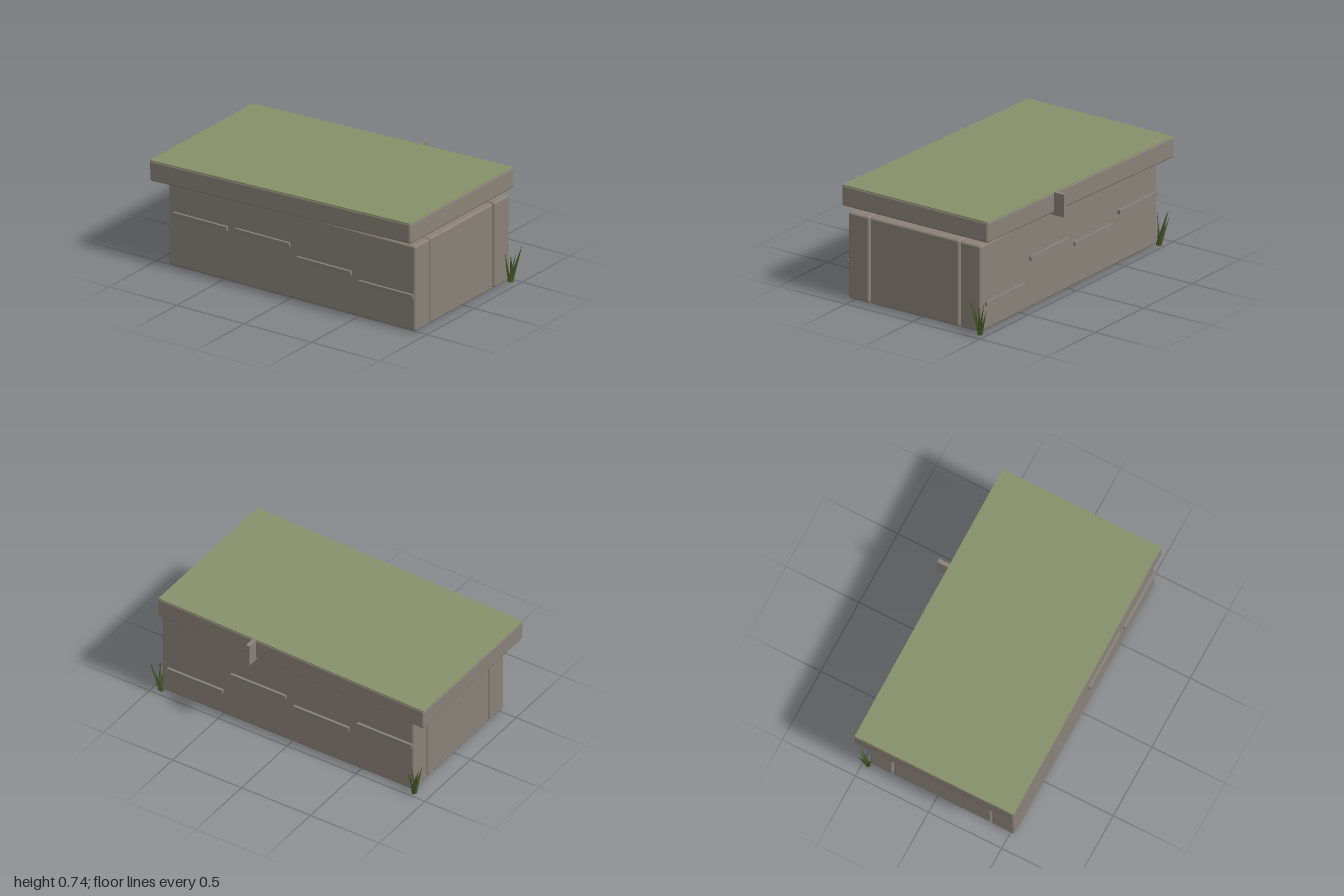
import * as THREE from 'three';
import { RoundedBoxGeometry } from 'three/addons/geometries/RoundedBoxGeometry.js';

const stone = new THREE.MeshStandardMaterial({ name: 'stone', color: 0x8a8278 });
const seamStone = new THREE.MeshStandardMaterial({ name: 'seam stone', color: 0x87827a });
const moss = new THREE.MeshStandardMaterial({ name: 'moss', color: 0x87916a });
const grass = new THREE.MeshStandardMaterial({ name: 'grass', color: 0x445628, flatShading: true });

function add(parent, name, geometry, material, x, y, z) {
  const mesh = new THREE.Mesh(geometry, material);
  mesh.name = name;
  mesh.position.set(x, y, z);
  parent.add(mesh);
  return mesh;
}

const slab = (w, h, d) => new RoundedBoxGeometry(w, h, d, 3, 0.014);
const box = (w, h, d) => new THREE.BoxGeometry(w, h, d);

// Fan of thin blades; each entry is the tip offset [x, y, z] from the root
function tuft(name, x, z, tips) {
  const group = new THREE.Group();
  group.name = name;
  group.position.set(x, 0.003, z);
  const up = new THREE.Vector3(0, 1, 0);
  tips.forEach((t, i) => {
    const tip = new THREE.Vector3(...t);
    const length = tip.length();
    const blade = new THREE.ConeGeometry(0.013, length, 4);
    blade.translate(0, length / 2, 0);
    const a = i * 2.4;
    const mesh = add(group, 'grassBlade', blade, grass, 0.006 * Math.cos(a), 0, 0.008 * Math.sin(a));
    mesh.quaternion.setFromUnitVectors(up, tip.normalize());
  });
  return group;
}

export function createModel() {
  const model = new THREE.Group();
  model.name = 'stoneBoxTomb';

  // Open-bottomed chest of four slabs
  add(model, 'frontSlab', slab(1.825, 0.56, 0.153), stone, 0.022, 0.29, 0.452);
  add(model, 'backSlab', slab(1.825, 0.56, 0.153), stone, 0.022, 0.29, -0.381);
  for (const [name, x] of [['leftEndSlab', 0.865], ['rightEndSlab', -0.821]]) {
    add(model, name, slab(0.135, 0.56, 0.665), stone, x, 0.29, 0.0365);
  }

  // Raised seams on the long sides, as [x, y]
  const frontSeams = [[-0.65, 0.354], [-0.19, 0.36], [0.267, 0.285], [0.725, 0.24]];
  const backSeams = [[0.69, 0.184], [0.232, 0.334], [-0.226, 0.284], [-0.685, 0.346]];
  for (const [x, y] of frontSeams) add(model, 'frontSeam', box(0.4, 0.026, 0.03), seamStone, x, y, 0.53);
  for (const [x, y] of backSeams) add(model, 'backSeam', box(0.4, 0.026, 0.03), seamStone, x, y, -0.459);

  // Tilted lid with a mossy top
  const lid = new THREE.Group();
  lid.name = 'lid';
  lid.position.set(-0.032, 0.642, 0.035);
  lid.rotation.z = 0.026;
  add(lid, 'lidSlab', slab(1.932, 0.134, 1.09), stone, 0, 0, 0);
  add(lid, 'mossCover', box(1.926, 0.006, 1.084), moss, 0, 0.066, 0);
  model.add(lid);

  // Upright tab behind the lid and thin bar beneath it
  add(model, 'backTab', box(0.026, 0.148, 0.14), seamStone, 0.232, 0.642, -0.512);
  add(model, 'underLidBar', box(0.8, 0.02, 0.018), seamStone, 0.05, 0.579, 0.054);

  // Grass at the back corners
  model.add(tuft('leftGrass', 0.942, -0.46, [
    [0.055, 0.23, -0.035], [0.015, 0.22, 0.068], [0.03, 0.2, 0.05],
    [0.04, 0.23, -0.068], [0.01, 0.17, -0.05], [0.02, 0.18, 0.03],
  ]));
  model.add(tuft('rightGrass', -0.9, -0.465, [
    [-0.062, 0.22, -0.035], [-0.012, 0.23, -0.06], [-0.045, 0.18, -0.04],
    [0.012, 0.2, -0.068], [-0.03, 0.2, 0.04], [-0.01, 0.16, -0.045],
  ]));

  return model;
}
